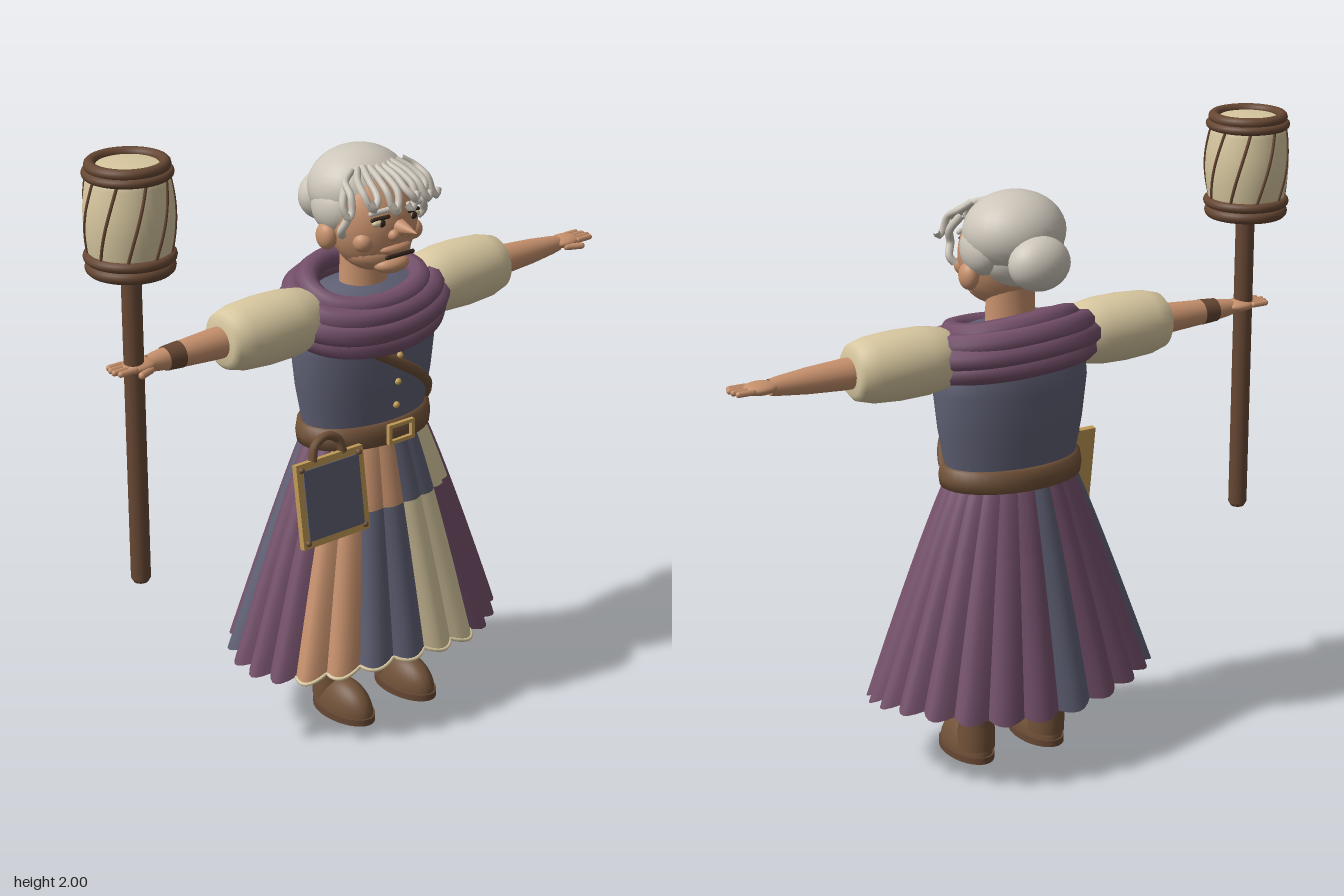
import * as THREE from 'three';
import { mergeGeometries } from 'three/addons/utils/BufferGeometryUtils.js';

const V = (x, y, z) => new THREE.Vector3(x, y, z);
const paint = (name, color, side = THREE.FrontSide) => {
  const m = new THREE.MeshStandardMaterial({ color, side });
  m.name = name;
  return m;
};

export function createModel() {
  const skin = paint('skin', 0xc6906c), plum = paint('plum cloth', 0x74506a, THREE.DoubleSide);
  const slate = paint('slate cloth', 0x5f6074, THREE.DoubleSide), cream = paint('cream cloth', 0xd8c8a0, THREE.DoubleSide);
  const leather = paint('leather', 0x705138), wood = paint('wood', 0x664733), hair = paint('grey hair', 0xcdc6ba);
  const gold = paint('gold', 0xc09a55), dark = paint('dark brown', 0x33241c), stocking = paint('stocking', 0xb06f42);
  const patch = paint('unused', 0);
  patch.dispose();

  const model = new THREE.Group();
  model.name = 'traveller';
  const body = new THREE.Group();
  body.name = 'body';
  body.position.x = 0.02;
  model.add(body);

  // helpers
  const add = (parent, name, geo, mat, x = 0, y = 0, z = 0) => {
    const m = new THREE.Mesh(geo, mat);
    m.name = name;
    m.position.set(x, y, z);
    parent.add(m);
    return m;
  };
  const ball = (parent, name, mat, x, y, z, rx, ry = rx, rz = rx) => {
    const m = add(parent, name, new THREE.SphereGeometry(1, 28, 18), mat, x, y, z);
    m.scale.set(rx, ry, rz);
    return m;
  };
  const lathe = (pts, seg = 40) => new THREE.LatheGeometry(pts.map(([r, y]) => new THREE.Vector2(r, y)), seg);
  const tube = (pts, r, closed = false, seg = 24) =>
    new THREE.TubeGeometry(new THREE.CatmullRomCurve3(pts, closed), seg, r, 8, closed);
  const group = (name, parent = body) => {
    const g = new THREE.Group();
    g.name = name;
    parent.add(g);
    return g;
  };

  // torso and belt
  add(body, 'bodice', lathe([[0.21, 0.94], [0.222, 1.0], [0.245, 1.12], [0.26, 1.25], [0.25, 1.36], [0.17, 1.43], [0, 1.45]]), slate).scale.z = 0.62;
  add(body, 'belt', lathe([[0.215, 0.935], [0.238, 0.94], [0.242, 0.97], [0.236, 1.005], [0.21, 1.01]]), leather).scale.z = 0.66;
  const buckle = group('buckle');
  for (const s of [-1, 1]) {
    add(buckle, 'buckleBar', new THREE.BoxGeometry(0.1, 0.012, 0.014), gold, 0.015, 0.975 + s * 0.027, 0.163);
    add(buckle, 'buckleSide', new THREE.BoxGeometry(0.012, 0.062, 0.014), gold, 0.015 + s * 0.046, 0.975, 0.163);
  }
  for (const y of [1.06, 1.14, 1.23]) ball(body, 'button', gold, 0.01, y, 0.62 * (0.222 + (y - 1) * 0.15) + 0.004, 0.011);
  // shoulder strap hugging the bodice
  const strap = [];
  for (let i = 0; i <= 10; i++) {
    const a = -0.45 + 1.8 * i / 10, y = 1.28 - 0.28 * i / 10, r = 0.222 + (y - 1) * 0.15 + 0.002;
    strap.push(V(r * Math.sin(a), y, 0.62 * r * Math.cos(a)));
  }
  add(body, 'shoulderStrap', tube(strap, 0.018), leather);

  // pleated patchwork skirt: 24 pleats, two rows of patches
  const skirtPoint = (a, v) => {
    const t = 1 - v, k = Math.pow(t, 0.92);
    const fold = 1 + (0.025 + 0.05 * t) * (Math.abs(Math.sin(12 * a)) - 0.6);
    const y = 0.265 + 0.69 * v + t * t * (0.018 * Math.cos(3 * a + 0.6) - 0.014 * Math.abs(Math.sin(12 * a)));
    return V((0.215 + 0.265 * k) * fold * Math.sin(a), y, (0.145 + 0.17 * k) * fold * Math.cos(a));
  };
  const upperColor = (p) => p >= -4 && p < -2 ? cream : p >= -2 && p < 0 ? skin : p >= 0 && p < 2 ? slate : p >= 2 && p < 4 ? cream : null;
  const lowerColor = (p) => p >= -4 && p < -2 ? skin : p >= -2 && p < 0 ? slate : p >= 0 && p < 2 ? cream : null;
  const patches = new Map();
  for (let p = -12; p < 12; p++) {
    for (const [v0, v1, pick] of [[0, 0.7, lowerColor], [0.7, 1, upperColor]]) {
      const g = new THREE.PlaneGeometry(1, 1, 6, 6), pos = g.attributes.position;
      for (let i = 0; i < pos.count; i++) {
        const q = skirtPoint((p + pos.getX(i) + 0.5) * Math.PI / 12, v0 + (v1 - v0) * (pos.getY(i) + 0.5));
        pos.setXYZ(i, q.x, q.y, q.z);
      }
      g.computeVertexNormals();
      const mat = pick(p) || (p === -12 || p === -8 ? slate : plum);
      if (!patches.has(mat)) patches.set(mat, []);
      patches.get(mat).push(g);
    }
  }
  const skirt = group('skirt');
  const skinCloth = skin;
  skinCloth.side = THREE.DoubleSide;
  for (const [mat, list] of patches) add(skirt, 'skirtPanels', mergeGeometries(list), mat);
  const hem = [];
  for (let i = 0; i <= 48; i++) hem.push(skirtPoint((-4 + 6 * i / 48) * Math.PI / 12, 0));
  add(skirt, 'hemTrim', tube(hem, 0.006, false, 96), cream);

  // rolled shawl, lower at the front
  const shawl = group('shawl');
  for (const [rx, rz, y, r] of [[0.255, 0.155, 1.32, 0.04], [0.268, 0.165, 1.365, 0.04], [0.245, 0.155, 1.405, 0.04], [0.195, 0.135, 1.435, 0.036]]) {
    const pts = [];
    for (let i = 0; i < 24; i++) {
      const a = i * Math.PI / 12;
      pts.push(V(rx * Math.sin(a), y - 0.035 * Math.cos(a) + 0.008 * Math.sin(a * 2 + y * 9), rz * Math.cos(a)));
    }
    add(shawl, 'shawlRoll', tube(pts, r, true, 64), plum);
  }

  // arms, built on the left and mirrored
  for (const s of [1, -1]) {
    const arm = group(s > 0 ? 'leftArm' : 'rightArm');
    arm.position.y = 1.365;
    arm.scale.x = s;
    const sleeve = add(arm, 'puffSleeve', lathe([[0.06, 0.18], [0.095, 0.24], [0.106, 0.31], [0.108, 0.4], [0.102, 0.49], [0.088, 0.54], [0.07, 0.555], [0.03, 0.556]]), cream);
    const fore = add(arm, 'forearm', lathe([[0.05, 0.5], [0.048, 0.58], [0.04, 0.7], [0.03, 0.79], [0.025, 0.82]], 24), skin);
    sleeve.rotation.z = fore.rotation.z = -Math.PI / 2;
    if (s < 0) {
      const cuff = add(arm, 'wristBand', new THREE.CylinderGeometry(0.037, 0.041, 0.055, 24), wood, 0.73);
      cuff.rotation.z = -Math.PI / 2;
    }
    ball(arm, 'palm', skin, 0.85, 0.003, 0, 0.058, 0.02, 0.042);
    for (let i = 0; i < 4; i++) {
      const finger = add(arm, 'finger', new THREE.CapsuleGeometry(0.0095, [0.05, 0.066, 0.06, 0.045][i], 4, 10), skin, 0.91, 0.005, 0.031 - i * 0.021);
      finger.rotation.z = -Math.PI / 2;
    }
    const thumb = add(arm, 'thumb', new THREE.CapsuleGeometry(0.011, 0.05, 4, 10), skin, 0.855, -0.006, 0.045);
    thumb.rotation.set(0, -0.4, -Math.PI / 2);
  }

  // legs and boots
  for (const s of [1, -1]) {
    const leg = group(s > 0 ? 'leftLeg' : 'rightLeg');
    leg.position.x = s * 0.13;
    add(leg, 'stocking', new THREE.CylinderGeometry(0.065, 0.052, 0.4, 24), stocking, 0, 0.5, -0.005);
    add(leg, 'bootShaft', lathe([[0.06, 0.04], [0.06, 0.1], [0.052, 0.17], [0.06, 0.28], [0.067, 0.335], [0.05, 0.337]], 28), leather, 0, 0, -0.005);
    const foot = add(leg, 'bootFoot', new THREE.SphereGeometry(1, 28, 14, 0, Math.PI * 2, 0, Math.PI / 2), leather, 0, 0.02, 0.06);
    foot.scale.set(0.066, 0.1, 0.125);
    const sole = add(leg, 'sole', new THREE.CylinderGeometry(1, 1, 0.022, 32), wood, 0, 0.011, 0.06);
    sole.scale.set(0.073, 1, 0.13);
    for (let i = 0; i < 5; i++) {
      const lace = add(leg, 'lace', new THREE.CapsuleGeometry(0.006, 0.055, 3, 8), wood, 0, 0.17 + i * 0.025, 0.053 + i * 0.002);
      lace.rotation.z = Math.PI / 2 + (i % 2 ? 0.2 : -0.2);
    }
  }

  // head and face
  const head = group('head');
  add(head, 'neck', lathe([[0.1, 1.38], [0.082, 1.44], [0.078, 1.56]], 28), skin).scale.z = 0.8;
  ball(head, 'face', skin, 0, 1.65, 0.045, 0.142, 0.165, 0.13);
  ball(head, 'jaw', skin, 0, 1.56, 0.06, 0.11, 0.07, 0.1);
  ball(head, 'chin', skin, 0, 1.525, 0.13, 0.062, 0.03, 0.045);
  ball(head, 'upperLip', skin, 0, 1.58, 0.145, 0.06, 0.022, 0.032);
  const mouth = add(head, 'mouth', new THREE.CapsuleGeometry(0.007, 0.1, 4, 8), dark, 0, 1.562, 0.172);
  mouth.rotation.z = Math.PI / 2;
  const nose = add(head, 'nose', new THREE.ConeGeometry(0.036, 0.11, 20), skin, 0, 1.648, 0.197);
  nose.rotation.x = Math.PI / 2;
  for (const s of [1, -1]) {
    ball(head, 'nostril', skin, s * 0.027, 1.63, 0.175, 0.018);
    ball(head, 'cheek', skin, s * 0.097, 1.608, 0.115, 0.032);
    ball(head, 'ear', skin, s * 0.145, 1.608, 0.0, 0.03, 0.043, 0.038);
    ball(head, 'eye', cream, s * 0.064, 1.672, 0.153, 0.029, 0.014, 0.014);
    ball(head, 'pupil', dark, s * 0.062, 1.671, 0.162, 0.012, 0.012, 0.008);
    const lid = add(head, 'eyelid', new THREE.CapsuleGeometry(0.007, 0.05, 4, 8), dark, s * 0.065, 1.686, 0.157);
    lid.rotation.set(0, s * 0.3, Math.PI / 2 - s * 0.12);
    const brow = add(head, 'eyebrow', new THREE.CapsuleGeometry(0.009, 0.06, 4, 8), hair, s * 0.066, 1.708, 0.158);
    brow.rotation.set(0, s * 0.3, Math.PI / 2 - s * 0.15);
    ball(head, 'sideHair', hair, s * 0.105, 1.688, -0.01, 0.062, 0.08, 0.085);
  }

  // hair cap, bun and curls
  ball(head, 'hairCap', hair, 0, 1.735, -0.025, 0.162, 0.126, 0.148);
  ball(head, 'hairBack', hair, 0, 1.67, -0.05, 0.12, 0.1, 0.09);
  ball(head, 'hairBun', hair, 0, 1.668, -0.175, 0.1, 0.084, 0.074);
  for (let i = 0; i < 10; i++) {
    const x = -0.15 + i * 0.0333, bend = i % 2 ? 0.022 : -0.022, z = 0.19 - 2.6 * x * x, low = 1.705 + (i % 3) * 0.015;
    add(head, 'fringeCurl', tube([V(x * 0.65, 1.82, 0.06), V(x * 0.9, 1.795, z - 0.055), V(x, 1.765, z - 0.01),
      V(x + bend * 0.4, low + 0.015, z + 0.005), V(x + bend, low, z + 0.008), V(x + bend * 1.6, low + 0.018, z)], 0.0115), hair);
  }
  for (const s of [1, -1]) {
    add(head, 'templeCurl', tube([V(s * 0.13, 1.78, 0.07), V(s * 0.158, 1.73, 0.095), V(s * 0.15, 1.69, 0.105), V(s * 0.162, 1.65, 0.09), V(s * 0.148, 1.63, 0.08)], 0.013), hair);
  }

  // satchel leaning on the skirt
  const bag = group('satchel', model);
  bag.position.set(-0.26, 0.845, 0.185);
  bag.rotation.x = -0.14;
  add(bag, 'satchelBack', new THREE.BoxGeometry(0.26, 0.27, 0.02), gold);
  add(bag, 'satchelPanel', new THREE.BoxGeometry(0.215, 0.225, 0.006), slate, 0, 0, 0.012);
  for (const sx of [-1, 1]) for (const sy of [-1, 1]) ball(bag, 'stud', leather, sx * 0.112, sy * 0.117, 0.011, 0.01);
  add(bag, 'satchelHandle', tube([V(-0.06, 0.13, 0), V(-0.045, 0.175, 0), V(0, 0.195, 0), V(0.045, 0.175, 0), V(0.06, 0.13, 0)], 0.014), leather);

  // staff with a banded barrel head
  const staff = group('staff', model);
  staff.position.x = -0.847;
  add(staff, 'pole', lathe([[0, 0.672], [0.022, 0.676], [0.03, 0.69], [0.03, 1.64], [0.024, 1.66]], 20), wood);
  const drum = (y) => 0.116 + 0.016 * Math.sin(Math.PI * (y - 1.7) / 0.27);
  const side = [];
  for (let i = 0; i <= 8; i++) side.push([drum(1.7 + i * 0.03375), 1.7 + i * 0.03375]);
  add(staff, 'barrel', lathe([[0, 1.65], [0.05, 1.655], [0.095, 1.675], ...side, [0.09, 1.985], [0, 1.985]]), cream);
  for (const [r, y, t] of [[0.108, 1.985, 0.017], [0.119, 1.962, 0.014], [0.12, 1.714, 0.016], [0.112, 1.682, 0.02]]) {
    add(staff, 'barrelHoop', new THREE.TorusGeometry(r, t, 12, 40), wood, 0, y, 0).rotation.x = Math.PI / 2;
  }
  for (let k = 0; k < 9; k++) {
    const pts = [];
    for (let i = 0; i <= 6; i++) {
      const y = 1.71 + i * 0.042, a = k * Math.PI * 2 / 9 + i * 0.09;
      pts.push(V(drum(y) * Math.sin(a), y, drum(y) * Math.cos(a)));
    }
    add(staff, 'barrelSeam', tube(pts, 0.005, false, 12), wood);
  }
  return model;
}
